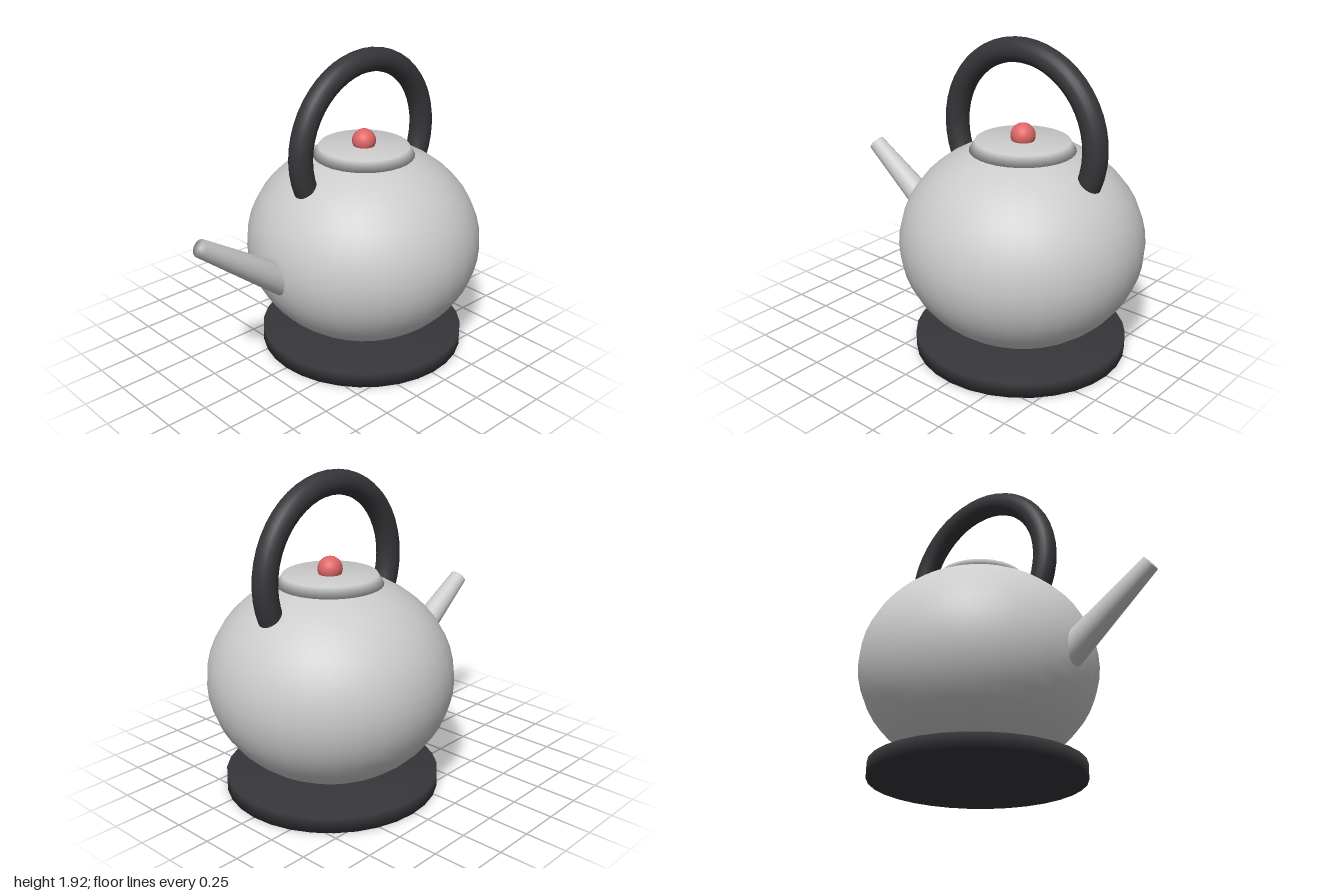
import * as THREE from 'three';
import { mergeVertices } from 'three/addons/utils/BufferGeometryUtils.js';

const CX = 0.263; // vertical axis of the kettle body

// Share normals across all edges for the soft, fully smooth look
function smooth(geometry) {
  geometry.deleteAttribute('normal');
  geometry.deleteAttribute('uv');
  const merged = mergeVertices(geometry, 1e-4);
  merged.computeVertexNormals();
  return merged;
}

export function createModel() {
  const model = new THREE.Group();
  const grey = new THREE.MeshStandardMaterial({ color: 0xcccccc });
  const dark = new THREE.MeshStandardMaterial({ color: 0x36363a });
  const red = new THREE.MeshStandardMaterial({ color: 0xe06666 });

  const add = (name, geometry, material, x, y) => {
    const mesh = new THREE.Mesh(geometry, material);
    mesh.name = name;
    mesh.position.set(x, y, 0);
    model.add(mesh);
    return mesh;
  };

  // Round base plate
  add('base', smooth(new THREE.CylinderGeometry(0.645, 0.645, 0.092, 32)), dark, CX, 0.046);

  // Slightly flattened round body
  const body = new THREE.SphereGeometry(0.733, 32, 24);
  body.scale(1, 0.625 / 0.733, 1);
  add('body', body, grey, CX + 0.002, 0.695);

  // Lid with a bevelled rim, and its knob
  add('lid', smooth(new THREE.CylinderGeometry(0.278, 0.313, 0.06, 32)), grey, CX, 1.288);
  add('lidKnob', new THREE.SphereGeometry(0.073, 24, 16), red, CX, 1.347);

  // Hoop handle, with its ends sunk into the body
  const arc = Math.PI * 1.5;
  const handle = add('handle', new THREE.TorusGeometry(0.504, 0.072, 20, 36, arc), dark, CX - 0.002, 1.34);
  handle.rotation.z = (Math.PI - arc) / 2;

  // Tapered spout, running from inside the body to the tip
  const tip = new THREE.Vector3(-0.966, 1.028, 0);
  const angle = THREE.MathUtils.degToRad(35.2);
  const dir = new THREE.Vector3(-Math.cos(angle), Math.sin(angle), 0);
  const length = 0.8;
  const middle = tip.clone().addScaledVector(dir, -length / 2);
  const spout = add('spout', smooth(new THREE.CylinderGeometry(0.053, 0.1, length, 24)), grey, middle.x, middle.y);
  spout.quaternion.setFromUnitVectors(new THREE.Vector3(0, 1, 0), dir);

  return model;
}
